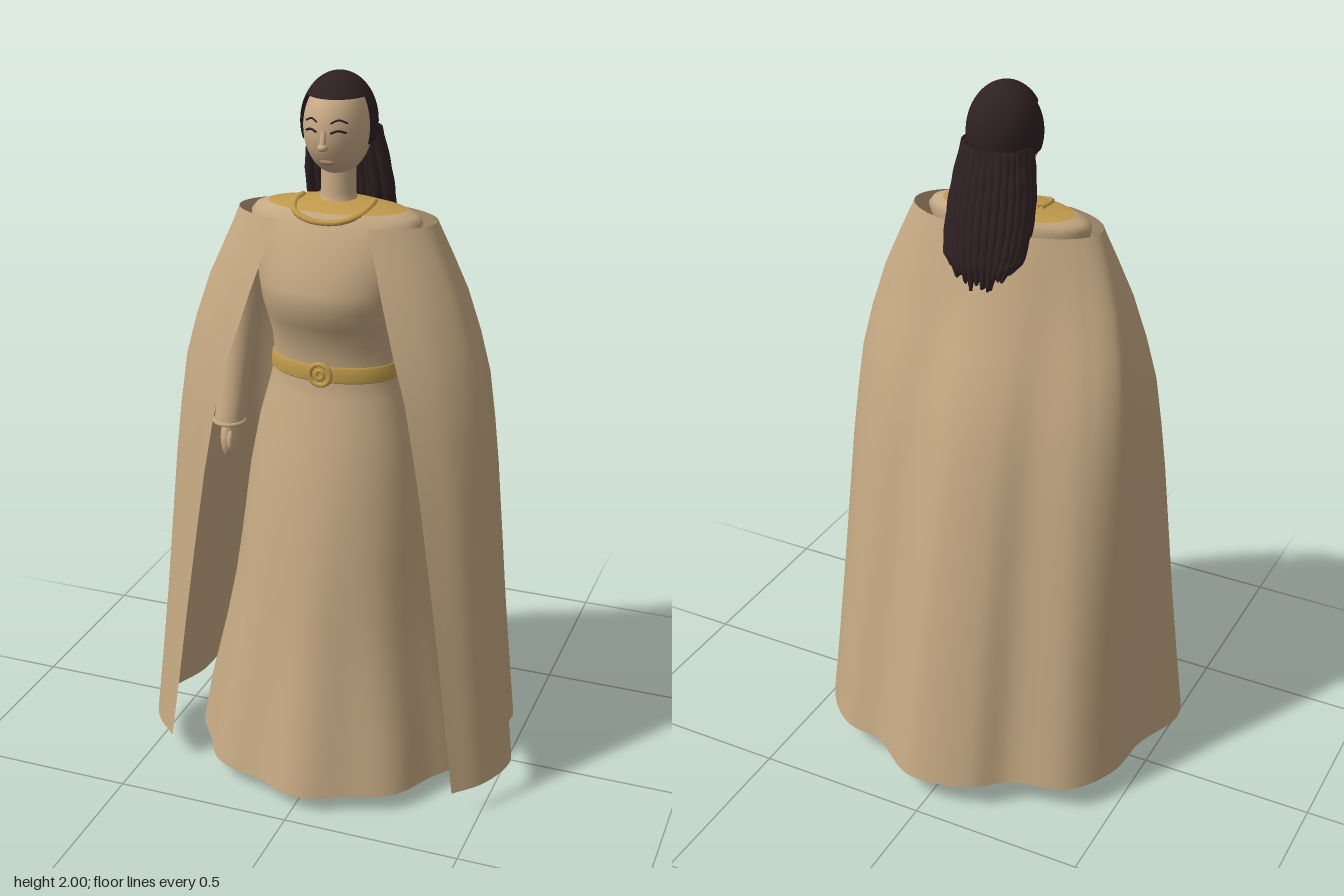
import * as THREE from 'three';
import { mergeVertices } from 'three/addons/utils/BufferGeometryUtils.js';

const material = (name, color) => {
  const m = new THREE.MeshStandardMaterial({ color, side: THREE.DoubleSide });
  m.name = name;
  return m;
};

// Smooth surface from point(u, row); u runs around from +x to +z, rows run upwards.
function loft(nu, rows, point) {
  const pos = [], index = [];
  for (let j = 0; j < rows; j++)
    for (let i = 0; i <= nu; i++) pos.push(...point(i / nu, j));
  for (let j = 0; j < rows - 1; j++)
    for (let i = 0; i < nu; i++) {
      const a = j * (nu + 1) + i, b = a + 1, c = a + nu + 1, d = c + 1;
      index.push(a, c, b, b, c, d);
    }
  let g = new THREE.BufferGeometry();
  g.setAttribute('position', new THREE.Float32BufferAttribute(pos, 3));
  g.setIndex(index);
  g = mergeVertices(g, 1e-5);
  g.computeVertexNormals();
  return g;
}

// Body rings: [y, half width, front z, back z, pleat depth]
function rings(list, nu = 96) {
  return loft(nu, list.length, (u, j) => {
    const [y, rx, f, b, pleat = 0] = list[j];
    const t = u * Math.PI * 2, mid = (f + b) / 2, rz = (f - b) / 2;
    const k = 1 + pleat * (Math.sin(9 * t + 0.3) + 0.4 * Math.sin(5 * t + 1));
    return [rx * k * Math.cos(t), y, mid + rz * k * Math.sin(t)];
  });
}

// Tapered round limb along a curve; points are listed from bottom to top.
function limb(points, radius, n = 12, sides = 12) {
  const curve = new THREE.CatmullRomCurve3(points.map(p => new THREE.Vector3(...p)));
  return loft(sides, n + 1, (u, j) => {
    const c = curve.getPoint(j / n), r = radius(j / n), t = u * Math.PI * 2;
    return [c.x + r * Math.cos(t), c.y, c.z + r * Math.sin(t)];
  });
}

const tube = (points, r, closed = false) => new THREE.TubeGeometry(
  new THREE.CatmullRomCurve3(points.map(p => new THREE.Vector3(...p)), closed), 24, r, 8, closed);

export function createModel() {
  const model = new THREE.Group();
  const cloth = material('cloth', 0xc4a882);
  const skin = material('skin', 0xc9ab86);
  const gold = material('gold', 0xc09a4c);
  const hair = material('dark hair', 0x2e2023);
  const lip = material('lips', 0x9a8068);

  const add = (name, geometry, mat, x = 0, y = 0, z = 0, sx = 1, sy = 1, sz = 1) => {
    const mesh = new THREE.Mesh(geometry, mat);
    mesh.name = name;
    mesh.position.set(x, y, z);
    mesh.scale.set(sx, sy, sz);
    model.add(mesh);
    return mesh;
  };
  const ball = new THREE.SphereGeometry(1, 32, 24);

  // Dress
  add('dress', rings([
    [0.05, 0.395, 0.44, -0.31, 0.028], [0.2, 0.37, 0.41, -0.285, 0.024], [0.4, 0.325, 0.37, -0.25, 0.017],
    [0.55, 0.295, 0.345, -0.22, 0.011], [0.7, 0.273, 0.32, -0.19, 0.006], [0.9, 0.248, 0.28, -0.14],
    [1.05, 0.217, 0.24, -0.08], [1.15, 0.188, 0.21, -0.04], [1.22, 0.17, 0.195, -0.02],
    [1.3, 0.174, 0.207, -0.02], [1.36, 0.182, 0.236, -0.025], [1.41, 0.19, 0.261, -0.03],
    [1.46, 0.198, 0.26, -0.03], [1.53, 0.212, 0.237, -0.03], [1.59, 0.228, 0.208, -0.03],
    [1.625, 0.236, 0.188, -0.03], [1.643, 0.222, 0.175, -0.025], [1.653, 0.19, 0.166, -0.02],
  ]), cloth);
  add('yoke', rings([[1.653, 0.19, 0.166, -0.02], [1.664, 0.12, 0.14, 0], [1.672, 0.04, 0.1, 0.02]]), gold);
  add('belt', rings([[1.198, 0.176, 0.2, -0.026], [1.203, 0.181, 0.205, -0.03],
    [1.24, 0.178, 0.204, -0.028], [1.245, 0.17, 0.197, -0.022]]), gold);
  add('buckle', new THREE.TorusGeometry(0.029, 0.007, 10, 32), gold, 0, 1.222, 0.208);
  add('buckleStud', new THREE.TorusGeometry(0.011, 0.005, 8, 24), gold, 0, 1.222, 0.208);
  add('necklace', tube([[-0.1, 1.668, 0.06], [-0.102, 1.662, 0.11], [-0.085, 1.65, 0.16], [-0.045, 1.638, 0.182],
    [0, 1.634, 0.186], [0.045, 1.638, 0.182], [0.085, 1.65, 0.16], [0.102, 1.662, 0.11], [0.1, 1.668, 0.06]], 0.008), gold);

  // Cape: blends from the shoulder ellipse to a wavy hem, open at the front
  const hem = new THREE.CatmullRomCurve3([
    [-0.42, 0.33], [-0.5, 0.25], [-0.54, 0.14], [-0.485, -0.03], [-0.47, -0.17], [-0.39, -0.3],
    [-0.22, -0.355], [-0.13, -0.425], [0.05, -0.455], [0.2, -0.36], [0.32, -0.335], [0.41, -0.26],
    [0.48, -0.13], [0.482, -0.04], [0.54, 0.12], [0.5, 0.25], [0.43, 0.33],
  ].map(([x, z]) => new THREE.Vector3(x, 0, z)));
  // [y, spread at the sides, spread at the back]
  const capeRows = [[0.08, 1, 1], [0.28, 0.93, 0.905], [0.49, 0.86, 0.81], [0.7, 0.805, 0.7], [0.92, 0.745, 0.58],
    [1.06, 0.695, 0.49], [1.2, 0.63, 0.39], [1.32, 0.52, 0.26], [1.44, 0.365, 0.15], [1.54, 0.18, 0.07], [1.63, 0, 0]];
  const capeStart = THREE.MathUtils.degToRad(117.4), capeSweep = THREE.MathUtils.degToRad(305.2);
  add('cape', loft(128, capeRows.length, (u, j) => {
    const [y, side, back] = capeRows[j], h = hem.getPoint(u), t = capeStart + u * capeSweep;
    const c = Math.cos(t), s = Math.sin(t);
    const fx = THREE.MathUtils.lerp(back, side, c * c);
    const fz = THREE.MathUtils.lerp(back, side, THREE.MathUtils.clamp(0.5 + s, 0, 1));
    return [THREE.MathUtils.lerp(0.274 * c, h.x, fx), y, THREE.MathUtils.lerp(0.07 + 0.13 * s, h.z, fz)];
  }), cloth);

  // Arms, legs and sandals
  for (const s of [-1, 1]) {
    const side = s > 0 ? 'left' : 'right';
    add(side + 'Sleeve', limb([[s * 0.295, 1.02, 0.14], [s * 0.288, 1.18, 0.1], [s * 0.272, 1.35, 0.07],
      [s * 0.235, 1.5, 0.065], [s * 0.19, 1.6, 0.07]], v => 0.042 + 0.014 * v, 14, 20), cloth);
    const cuff = add(side + 'Cuff', new THREE.TorusGeometry(0.041, 0.006, 8, 24), cloth, s * 0.295, 1.022, 0.14);
    cuff.rotation.x = Math.PI / 2;
    add(side + 'Hand', ball, skin, s * 0.293, 0.975, 0.15, 0.022, 0.06, 0.032);
    add(side + 'Thumb', ball, skin, s * 0.278, 0.975, 0.175, 0.01, 0.03, 0.012);
    add(side + 'Leg', limb([[s * 0.115, 0.03, 0.06], [s * 0.112, 0.25, 0.05], [s * 0.105, 0.6, 0.06]],
      v => 0.03 + 0.03 * v, 10, 16), skin);
    add(side + 'Foot', ball, skin, s * 0.115, 0.03, 0.135, 0.036, 0.026, 0.115);
    add(side + 'Sandal', new THREE.CylinderGeometry(1, 1, 1, 40), gold, s * 0.115, 0.007, 0.135, 0.047, 0.013, 0.14);
  }

  // Neck, head and face
  add('neck', limb([[0, 1.655, 0.062], [0, 1.69, 0.062], [0, 1.8, 0.06]], v => 0.046 + 0.012 * (1 - v) ** 4, 8, 24), skin);
  add('head', ball, skin, 0, 1.862, 0.062, 0.088, 0.128, 0.11);
  const faceZ = (x, y) => 0.062 + 0.11 * Math.sqrt(1 - (x / 0.088) ** 2 - ((y - 1.862) / 0.128) ** 2);
  const faceLine = (name, pts, r) => add(name, tube(pts.map(([x, y]) => [x, y, faceZ(x, y)]), r), hair);
  for (const s of [-1, 1]) {
    faceLine('eyebrow', [[s * 0.018, 1.889], [s * 0.036, 1.897], [s * 0.056, 1.888]], 0.0025);
    faceLine('eyelid', [[s * 0.018, 1.864], [s * 0.036, 1.87], [s * 0.054, 1.864]], 0.003);
  }
  add('nose', limb([[0, 1.822, 0.171], [0, 1.832, 0.177], [0, 1.87, 0.169]], v => 0.013 - 0.007 * v, 8, 14), skin);
  add('noseTip', ball, skin, 0, 1.828, 0.176, 0.014, 0.011, 0.014);
  add('lips', ball, lip, 0, 1.783, faceZ(0, 1.783), 0.02, 0.007, 0.007);

  // Hair: crown, sides and back, then hanging locks
  add('hairCrown', new THREE.SphereGeometry(1, 40, 14, 0, Math.PI * 2, 0, 0.96), hair, 0, 1.87, 0.055, 0.1, 0.13, 0.112);
  add('hairSides', new THREE.SphereGeometry(1, 32, 14, Math.PI - 0.3, Math.PI + 0.6, 0.95, 1.0), hair, 0, 1.87, 0.055, 0.1, 0.13, 0.112);
  for (const [layer, count] of [[1, 17], [0.75, 11]])
    for (let i = 0; i < count; i++) {
      const a = (i / (count - 1) - 0.5) * Math.PI, s = Math.sin(a) * layer, c = Math.cos(a) * layer;
      const end = 1.475 + 0.06 * s * s + (i % 3) * 0.011;
      add('hairLock', limb([
        [0.085 * s, end, -0.092 - 0.02 * c], [0.1 * s, 1.57, -0.07 - 0.033 * c],
        [0.108 * s, 1.66, -0.03 - 0.062 * c], [0.102 * s, 1.75, -0.004 - 0.068 * c],
        [0.084 * s, 1.85, 0.015 - 0.06 * c],
      ], v => 0.004 + 0.013 * Math.min(1, v * 5) + 0.001 * Math.sin(v * 30 + i), 18, 10), hair);
    }

  return model;
}
